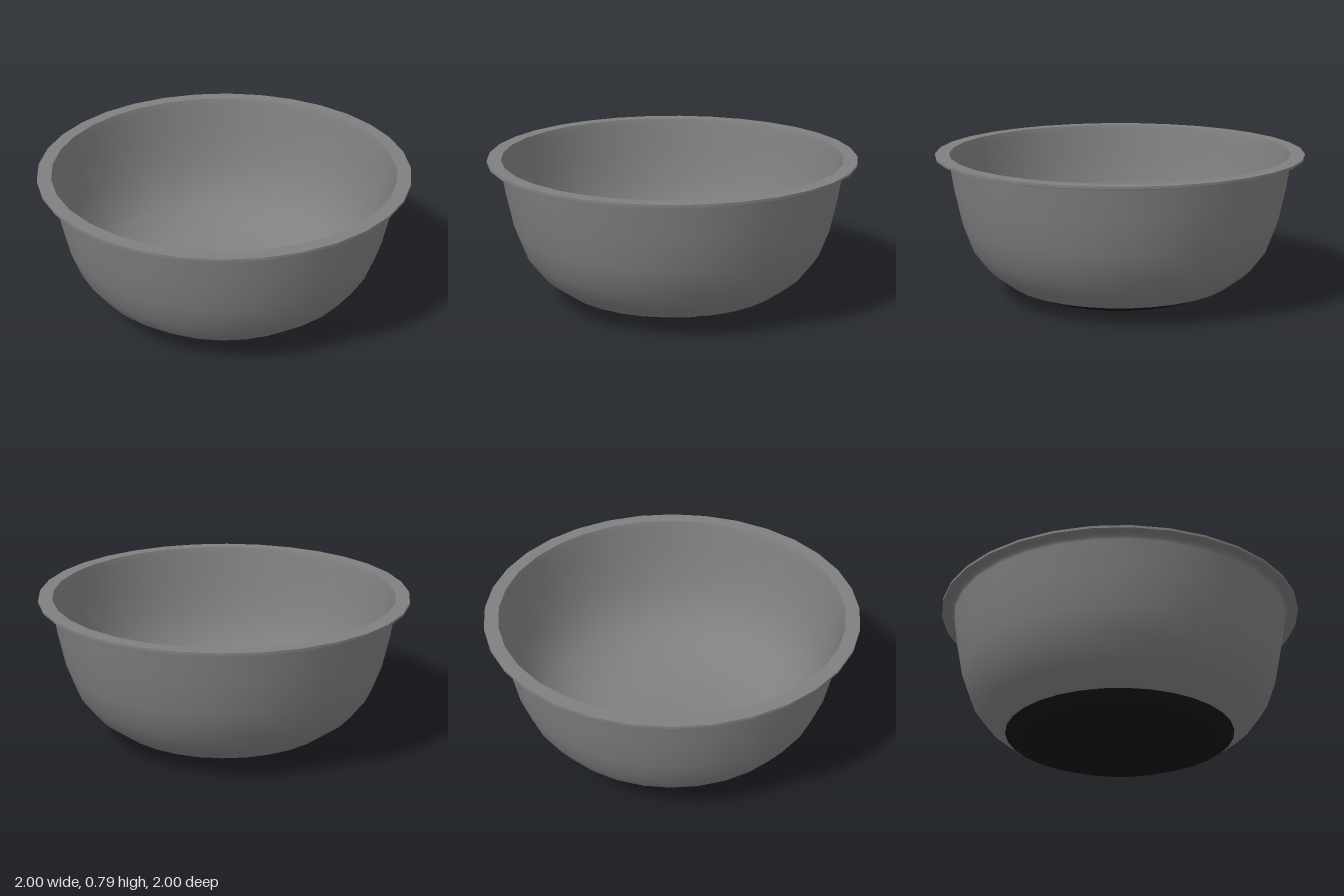
import * as THREE from 'three';

const SIDES = 32;

export function createModel() {
  const bowl = new THREE.Group();
  bowl.name = 'mixingBowl';

  const steel = new THREE.MeshStandardMaterial({ color: 0x808080 });
  steel.name = 'brushed grey';
  const rubber = new THREE.MeshStandardMaterial({ color: 0x161616 });
  rubber.name = 'black rubber';

  // Profiles run so that the surface faces to the right of the path
  const revolve = (name, points, material) => {
    const profile = points.map(([r, y]) => new THREE.Vector2(r, y));
    const mesh = new THREE.Mesh(new THREE.LatheGeometry(profile, SIDES), material);
    mesh.name = name;
    bowl.add(mesh);
  };

  // Non-slip base
  revolve('base', [[0, 0], [0.17, 0], [0.33, 0.003], [0.5, 0.03], [0.62, 0.08]], rubber);

  // Outer wall, curling out under the rim
  revolve('outerWall', [
    [0.62, 0.08], [0.735, 0.167], [0.815, 0.275], [0.868, 0.42],
    [0.905, 0.6], [0.928, 0.755], [0.933, 0.77], [0.945, 0.777],
  ], steel);

  // Flat rim: underside, edge and top
  revolve('rimUnderside', [[0.945, 0.777], [1, 0.777]], steel);
  revolve('rimEdge', [[1, 0.777], [1, 0.79]], steel);
  revolve('rimTop', [[1, 0.79], [0.925, 0.79]], steel);

  // Inner wall and floor
  revolve('interior', [
    [0.925, 0.79], [0.916, 0.755], [0.893, 0.6], [0.856, 0.423],
    [0.804, 0.281], [0.727, 0.176], [0.614, 0.091], [0.497, 0.042],
    [0.33, 0.015], [0.17, 0.012], [0, 0.012],
  ], steel);

  return bowl;
}
